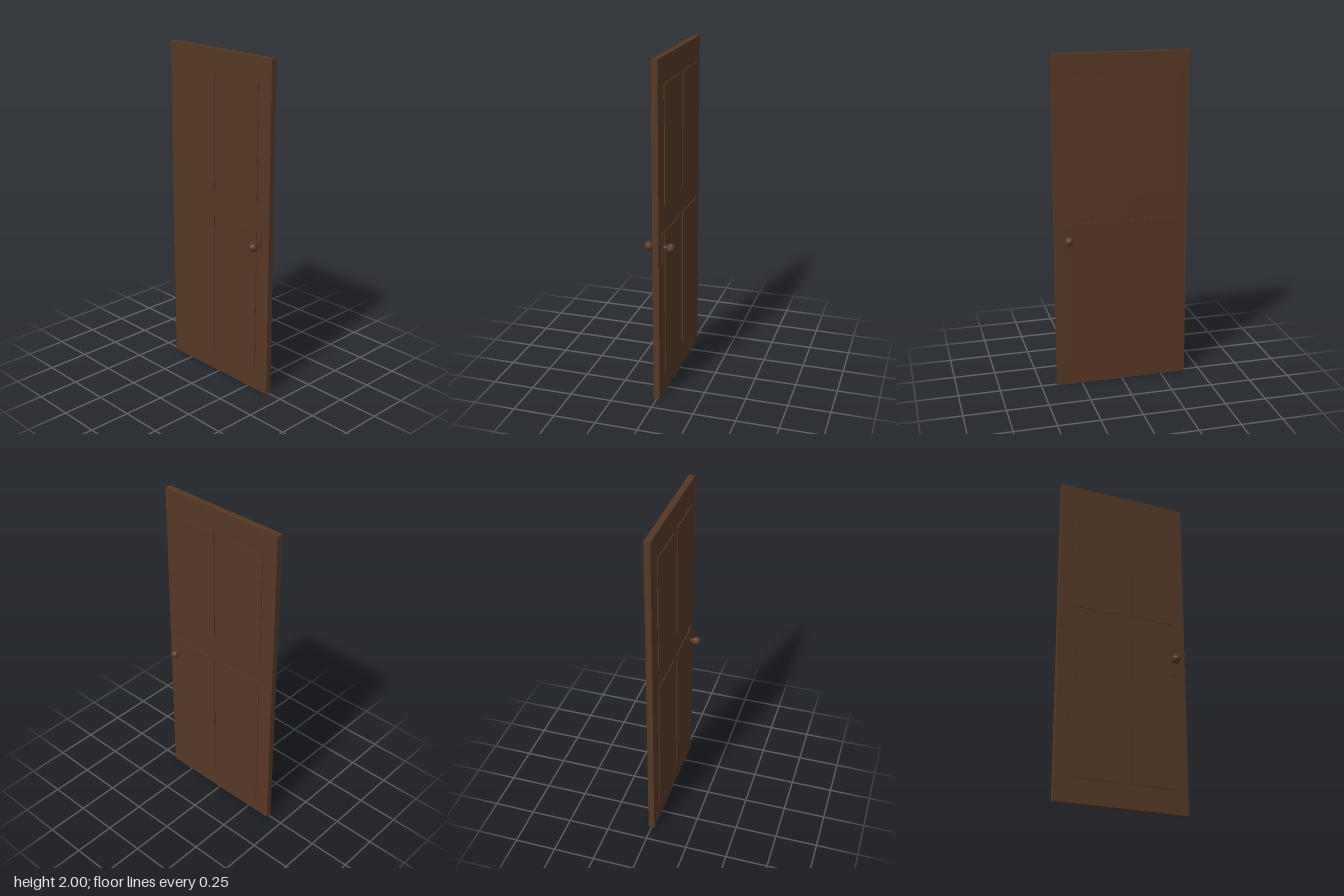
import * as THREE from 'three';

export function createModel() {
  const door = new THREE.Group();
  door.name = 'door';

  const wood = new THREE.MeshStandardMaterial({ color: 0x563824, flatShading: true });
  wood.name = 'dark wood';

  const add = (parent, name, geometry, x, y, z) => {
    const mesh = new THREE.Mesh(geometry, wood);
    mesh.name = name;
    mesh.position.set(x, y, z);
    parent.add(mesh);
    return mesh;
  };

  // Box whose rear face shrinks to a small pad
  const taperedBox = (w, h, d, padW, padH) => {
    const geometry = new THREE.BoxGeometry(w, h, d);
    const p = geometry.attributes.position;
    for (let i = 0; i < p.count; i++) {
      if (p.getZ(i) < 0) p.setXY(i, Math.sign(p.getX(i)) * padW / 2, Math.sign(p.getY(i)) * padH / 2);
    }
    geometry.computeVertexNormals();
    return geometry;
  };

  // Main slab
  add(door, 'slab', new THREE.BoxGeometry(0.804, 2, 0.037), 0, 1, 0);

  // Each face: four raised panels and a knob; the rear face is mirrored
  for (const side of [1, -1]) {
    const face = new THREE.Group();
    face.name = side > 0 ? 'frontFace' : 'backFace';
    face.rotation.y = side > 0 ? 0 : Math.PI;

    for (const x of [-0.1725, 0.1725]) {
      for (const [bottom, top] of [[0.14, 1.02], [1.17, 1.86]]) {
        const h = top - bottom;
        const y = (top + bottom) / 2;
        add(face, 'panel', new THREE.BoxGeometry(0.283, h, 0.005), x, y, 0.0265);
        add(face, 'panelBacking', taperedBox(0.225, h - 0.06, 0.008, 0.06, 0.07), x, y, 0.021);
      }
    }

    // Knob with its stem and backing plate
    const knob = new THREE.Group();
    knob.name = 'knobSet';
    knob.position.set(0.325 * side, 0.93, 0);
    add(knob, 'knobPlate', new THREE.BoxGeometry(0.04, 0.18, 0.008), 0, 0, 0.02);
    add(knob, 'knobStem', new THREE.CylinderGeometry(0.011, 0.011, 0.04, 10), 0, 0, 0.035).rotation.x = Math.PI / 2;
    add(knob, 'knob', new THREE.SphereGeometry(0.027, 10, 8), 0, 0, 0.064).rotation.x = Math.PI / 2;
    face.add(knob);
    door.add(face);
  }
  return door;
}
